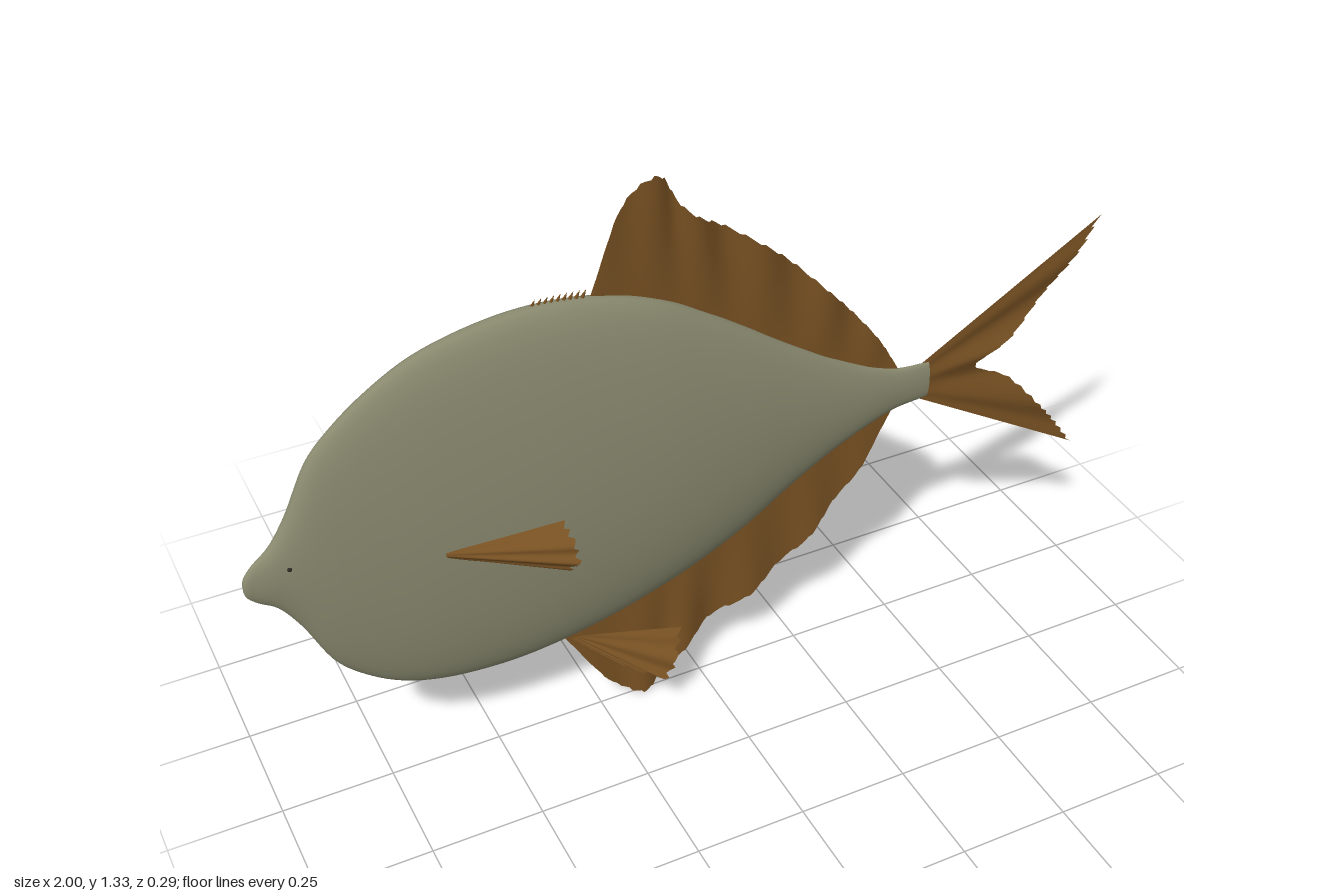
import * as THREE from 'three';

const skin = new THREE.MeshStandardMaterial({ color: 0x8a8a70 });
skin.name = 'olive grey skin';
const finBrown = new THREE.MeshStandardMaterial({ color: 0x795223, side: THREE.DoubleSide });
finBrown.name = 'brown fin';
const eyeDark = new THREE.MeshStandardMaterial({ color: 0x2b2a24 });
eyeDark.name = 'dark eye';

const curve = (pts) => new THREE.CatmullRomCurve3(pts.map(([x, y, z = 0]) => new THREE.Vector3(x, y, z)));

function mesh(name, geometry, material) {
  const m = new THREE.Mesh(geometry, material);
  m.name = name;
  return m;
}

// Surface from a grid of points: at(i, j) for i in 0..nu and j in 0..nv
function grid(nu, nv, at) {
  const pos = [], idx = [];
  for (let i = 0; i <= nu; i++) for (let j = 0; j <= nv; j++) pos.push(...at(i, j));
  for (let i = 0; i < nu; i++) for (let j = 0; j < nv; j++) {
    const a = i * (nv + 1) + j, b = a + nv + 1;
    idx.push(a, a + 1, b, a + 1, b + 1, b);
  }
  const g = new THREE.BufferGeometry();
  g.setAttribute('position', new THREE.Float32BufferAttribute(pos, 3));
  g.setIndex(idx);
  g.computeVertexNormals();
  return g;
}

// Thin fin stretched between a base line and a ragged outer edge
function fin(name, base, edge, { steps = 96, ripple = 0.01, waves = 6, ragged = 0.03, side = 1 } = {}) {
  const b = curve(base), e = curve(edge), rows = 6;
  return mesh(name, grid(steps, rows, (i, j) => {
    const u = i / steps, v = j / rows;
    const inside = i > 0 && i < steps;
    const reach = v * (1 - (inside ? ragged * (i % 4) / 4 : 0));
    const p = b.getPoint(u).lerp(e.getPoint(u), reach);
    p.z += ripple * v * Math.sin(u * Math.PI * 2 * waves) * Math.sin(u * Math.PI);
    return [p.x, p.y, p.z * side];
  }), finBrown);
}

// Body stations: x, top, bottom, half width
const stations = [
  [-1, 0.637, 0.623, 0.002], [-0.995, 0.655, 0.606, 0.008], [-0.975, 0.68, 0.585, 0.013],
  [-0.94, 0.71, 0.56, 0.021], [-0.9, 0.77, 0.5, 0.028], [-0.84, 0.892, 0.375, 0.037],
  [-0.79, 0.947, 0.32, 0.043], [-0.71, 1.01, 0.265, 0.051], [-0.61, 1.065, 0.232, 0.06],
  [-0.47, 1.1, 0.22, 0.069], [-0.35, 1.107, 0.23, 0.074], [-0.22, 1.09, 0.257, 0.075],
  [-0.1, 1.05, 0.295, 0.073], [0, 0.993, 0.335, 0.067], [0.115, 0.915, 0.395, 0.056],
  [0.22, 0.84, 0.464, 0.043], [0.33, 0.77, 0.527, 0.03], [0.43, 0.718, 0.571, 0.02],
  [0.49, 0.697, 0.59, 0.014], [0.57, 0.69, 0.597, 0.01],
];

function body() {
  const group = new THREE.Group();
  group.name = 'body';
  const outline = curve(stations);
  const widths = curve(stations.map((s) => [s[0], s[3]]));
  const nu = 100, nv = 48;
  const g = grid(nu, nv, (i, j) => {
    const p = outline.getPoint(i / nu), w = widths.getPoint(i / nu).y;
    const a = (j / nv) * Math.PI * 2;
    return [p.x, (p.y + p.z) / 2 + (p.y - p.z) / 2 * Math.cos(a), w * Math.sin(a)];
  });
  // Match normals along the seam on the back
  const n = g.attributes.normal;
  for (let i = 0; i <= nu; i++) {
    const a = i * (nv + 1), b = a + nv;
    const v = new THREE.Vector3(n.getX(a) + n.getX(b), n.getY(a) + n.getY(b), 0).normalize();
    for (const k of [a, b]) n.setXYZ(k, v.x, v.y, 0);
  }
  group.add(mesh('trunk', g, skin));

  // Flat end of the tail stalk
  const [x, top, bottom, w] = stations[stations.length - 1];
  const end = mesh('tailStalkEnd', new THREE.CircleGeometry(1, 32).rotateY(Math.PI / 2), skin);
  end.scale.set(1, (top - bottom) / 2, w);
  end.position.set(x, (top + bottom) / 2, 0);
  group.add(end);
  return group;
}

export function createModel() {
  const fish = new THREE.Group();
  fish.name = 'fish';
  fish.add(body());

  // Back fin and belly fin along the midline
  fish.add(fin('dorsalFin',
    [[-0.25, 1.06], [-0.15, 1.04], [-0.05, 0.99], [0.06, 0.92], [0.18, 0.84], [0.3, 0.76], [0.4, 0.7], [0.48, 0.66]],
    [[-0.24, 1.09], [-0.165, 1.285, 0.008], [-0.095, 1.335, 0.01], [-0.035, 1.245, 0.006], [0.05, 1.18],
      [0.16, 1.1], [0.27, 0.99], [0.36, 0.89], [0.44, 0.785], [0.495, 0.69]]));
  fish.add(fin('analFin',
    [[-0.33, 0.25], [-0.22, 0.28], [-0.1, 0.32], [0, 0.37], [0.12, 0.43], [0.25, 0.51], [0.37, 0.58], [0.48, 0.62]],
    [[-0.335, 0.235], [-0.21, 0.04, 0.006], [-0.14, 0, 0.01], [-0.075, 0.055, 0.006], [0.02, 0.135],
      [0.14, 0.19], [0.25, 0.27], [0.34, 0.365], [0.42, 0.47], [0.485, 0.595]]));

  // Forked tail fin
  fish.add(fin('tailFin',
    [[0.55, 0.69], [0.555, 0.665], [0.555, 0.62], [0.55, 0.597]],
    [[1, 0.957], [0.95, 0.875], [0.88, 0.79], [0.79, 0.7], [0.7, 0.643], [0.8, 0.575], [0.89, 0.475], [0.95, 0.4], [1, 0.328]],
    { waves: 3, ragged: 0.04 }));

  // Row of tiny spines in front of the back fin
  const spines = new THREE.Group();
  spines.name = 'dorsalSpines';
  for (let i = 0; i < 9; i++) {
    const spine = mesh('spine', new THREE.ConeGeometry(0.006, 0.024, 5), finBrown);
    spine.position.set(-0.36 + i * 0.0135, 1.108 - i * i * 0.0001, 0);
    spine.rotation.z = -0.5;
    spines.add(spine);
  }
  fish.add(spines);

  // Paired fins and eyes
  for (const [label, side] of [['left', 1], ['right', -1]]) {
    const options = { steps: 32, ripple: 0.006, waves: 4, ragged: 0.06, side };
    fish.add(fin(label === 'left' ? 'frontPectoralFin' : 'backPectoralFin',
      [[-0.6, 0.622, 0.058], [-0.6, 0.612, 0.062], [-0.595, 0.6, 0.058]],
      [[-0.345, 0.622, 0.075], [-0.34, 0.6, 0.115], [-0.338, 0.56, 0.14], [-0.348, 0.525, 0.12], [-0.362, 0.508, 0.085]],
      options));
    fish.add(fin(label === 'left' ? 'frontPelvicFin' : 'backPelvicFin',
      [[-0.3, 0.245, 0.025], [-0.31, 0.24, 0.02], [-0.32, 0.235, 0.015]],
      [[-0.08, 0.222, 0.075], [-0.1, 0.17, 0.1], [-0.13, 0.12, 0.112], [-0.18, 0.14, 0.095], [-0.225, 0.165, 0.075]],
      options));
    const eye = mesh('eye', new THREE.SphereGeometry(0.005, 12, 8), eyeDark);
    eye.position.set(-0.908, 0.665, side * 0.025);
    fish.add(eye);
  }
  return fish;
}
